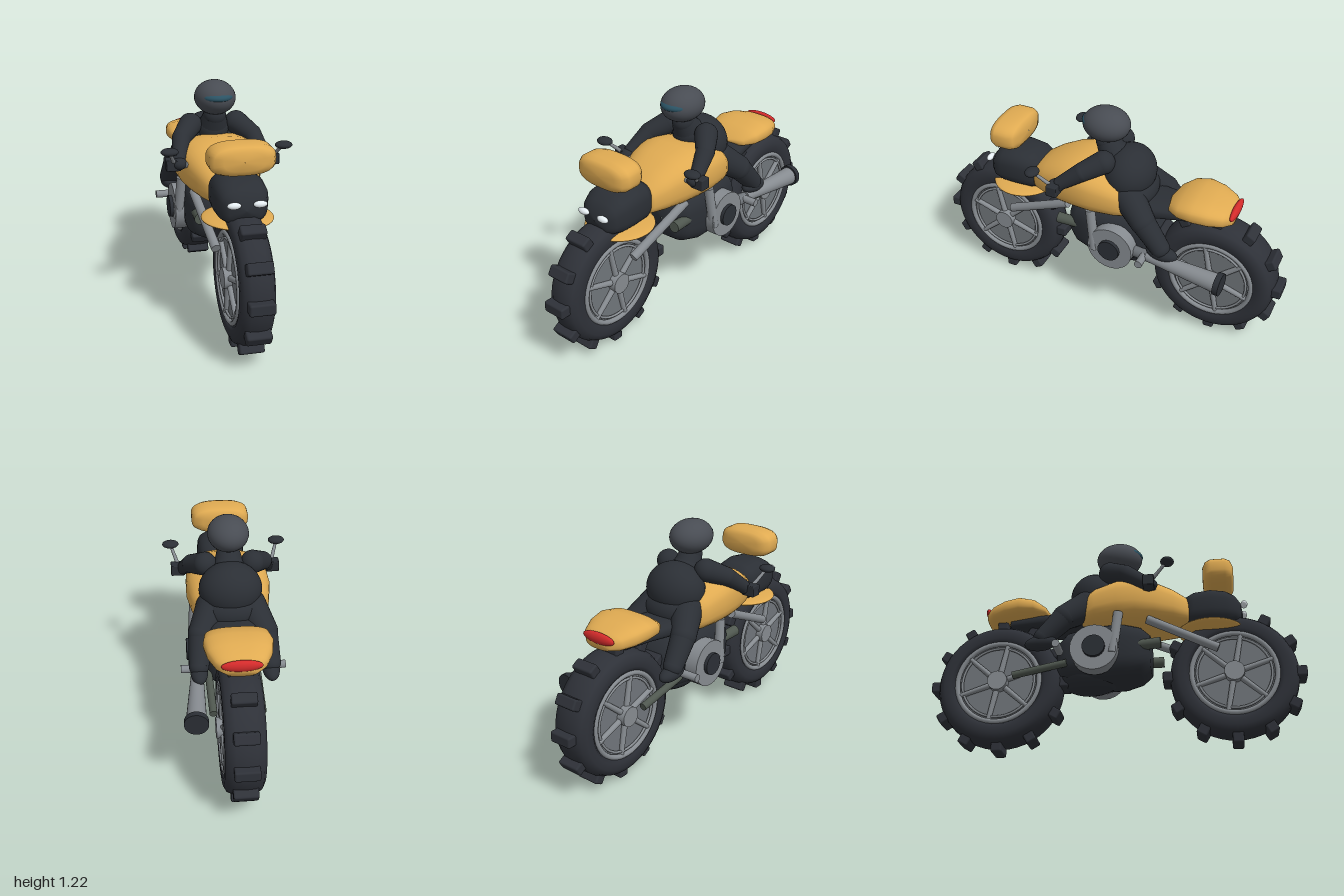
import * as THREE from 'three';
import { RoundedBoxGeometry } from 'three/addons/geometries/RoundedBoxGeometry.js';

const mat = (color) => new THREE.MeshStandardMaterial({ color });
const GOLD = mat(0xe0ab52), DARK = mat(0x2b2f35), TYRE = mat(0x2e3138), METAL = mat(0x868b90),
  STEEL = mat(0x70757a), HELMET = mat(0x484c53), VISOR = mat(0x2b5364), WHITE = mat(0xe6eef2),
  RED = mat(0xd42b2b), PIPE = mat(0x4f574f);

export function createModel() {
  const model = new THREE.Group();
  model.name = 'motorcycleAndRider';

  const add = (name, geo, material, pos = [0, 0, 0], parent = model) => {
    const m = new THREE.Mesh(geo, material);
    m.name = name;
    m.position.set(...pos);
    parent.add(m);
    return m;
  };
  const ball = (name, material, pos, radii, parent) => {
    const m = add(name, new THREE.SphereGeometry(1, 32, 20), material, pos, parent);
    m.scale.set(...radii);
    return m;
  };
  // Tapered round bar between two points
  const rod = (name, material, a, b, r1, r2 = r1, parent = model) => {
    const A = new THREE.Vector3(...a), B = new THREE.Vector3(...b);
    const d = B.clone().sub(A);
    const m = add(name, new THREE.CylinderGeometry(r2, r1, d.length(), 24), material,
      A.clone().add(B).multiplyScalar(0.5).toArray(), parent);
    m.quaternion.setFromUnitVectors(new THREE.Vector3(0, 1, 0), d.normalize());
    return m;
  };
  // Limb with rounded ends
  const limb = (name, material, a, b, r1, r2) => {
    rod(name, material, a, b, r1, r2);
    ball(name + 'Start', material, a, [r1, r1, r1]);
    ball(name + 'End', material, b, [r2, r2, r2]);
  };
  // Superellipse sections [z, half width, bottom, top], listed back to front
  const loft = (name, material, sections, power = 0.75) => {
    const n = 36, pos = [], idx = [];
    const p = (v) => Math.sign(v) * Math.abs(v) ** power;
    for (const [z, w, y0, y1] of sections)
      for (let j = 0; j < n; j++) {
        const a = (j / n) * Math.PI * 2;
        pos.push(w * p(Math.cos(a)), (y0 + y1) / 2 + ((y1 - y0) / 2) * p(Math.sin(a)), z);
      }
    for (let i = 0; i < sections.length - 1; i++)
      for (let j = 0; j < n; j++) {
        const a = i * n + j, b = i * n + ((j + 1) % n);
        idx.push(a, b, a + n, b, b + n, a + n);
      }
    const g = new THREE.BufferGeometry();
    g.setAttribute('position', new THREE.Float32BufferAttribute(pos, 3));
    g.setIndex(idx);
    g.computeVertexNormals();
    return add(name, g, material);
  };

  // Wheels: tyre, tread blocks, rim, spokes and hub
  const wheel = (name, z, w) => {
    const g = new THREE.Group();
    g.name = name;
    g.position.set(0, 0.375, z);
    model.add(g);
    const tyre = [[0.23, -w * 0.9], [0.255, -w], [0.29, -w], [0.318, -w * 0.85], [0.334, -w * 0.5], [0.337, 0],
      [0.334, w * 0.5], [0.318, w * 0.85], [0.29, w], [0.255, w], [0.23, w * 0.9], [0.23, -w * 0.9]];
    add('tyre', new THREE.LatheGeometry(tyre.map((p) => new THREE.Vector2(...p)), 48), TYRE, [0, 0, 0], g)
      .rotation.z = Math.PI / 2;
    for (let i = 0; i < 12; i++) {
      const a = (i / 12) * Math.PI * 2;
      const block = add('treadBlock', new RoundedBoxGeometry(0.125, 0.06, 0.058, 2, 0.01), TYRE,
        [0, 0.345 * Math.cos(a), 0.345 * Math.sin(a)], g);
      block.rotation.x = a;
    }
    rod('rimDisc', STEEL, [-w * 0.75, 0, 0], [w * 0.75, 0, 0], 0.235, 0.235, g);
    rod('hub', METAL, [-w - 0.02, 0, 0], [w + 0.02, 0, 0], 0.053, 0.053, g);
    for (const s of [-1, 1]) {
      for (const [r, t] of [[0.222, 0.014], [0.195, 0.007]])
        add('rimRing', new THREE.TorusGeometry(r, t, 10, 48), METAL, [s * w * 0.88, 0, 0], g).rotation.y = Math.PI / 2;
      for (let i = 0; i < 6; i++) {
        const a = (i / 6) * Math.PI * 2 + 0.2, x = s * w * 0.85;
        rod('spoke', METAL, [x, 0.03 * Math.cos(a), 0.03 * Math.sin(a)],
          [x, 0.215 * Math.cos(a), 0.215 * Math.sin(a)], 0.016, 0.013, g);
      }
    }
  };
  wheel('frontWheel', 0.625, 0.083);
  wheel('rearWheel', -0.625, 0.1);

  // Bodywork
  loft('fuelTank', GOLD, [[-0.21, 0.001, 0.72, 0.73], [-0.205, 0.1, 0.68, 0.77], [-0.17, 0.17, 0.663, 0.84],
    [-0.1, 0.205, 0.655, 0.89], [0.02, 0.225, 0.65, 0.93], [0.12, 0.222, 0.65, 0.94], [0.22, 0.2, 0.65, 0.92],
    [0.32, 0.165, 0.655, 0.875], [0.39, 0.128, 0.66, 0.83], [0.415, 0.1, 0.67, 0.8], [0.42, 0.001, 0.73, 0.735]]);
  loft('frontCowl', DARK, [[0.36, 0.001, 0.74, 0.75], [0.37, 0.1, 0.67, 0.83], [0.43, 0.127, 0.65, 0.86],
    [0.52, 0.135, 0.65, 0.87], [0.6, 0.13, 0.65, 0.858], [0.65, 0.112, 0.66, 0.83], [0.68, 0.08, 0.68, 0.79],
    [0.692, 0.001, 0.735, 0.74]], 0.7);
  loft('windShield', GOLD, [[0.482, 0.001, 0.963, 0.965], [0.484, 0.1, 0.92, 1.01], [0.5, 0.145, 0.895, 1.032],
    [0.53, 0.163, 0.886, 1.042], [0.605, 0.163, 0.886, 1.042], [0.635, 0.145, 0.895, 1.032],
    [0.65, 0.1, 0.92, 1.01], [0.652, 0.001, 0.963, 0.965]], 0.7);
  loft('tailFairing', GOLD, [[-0.715, 0.001, 0.775, 0.78], [-0.71, 0.08, 0.745, 0.81], [-0.67, 0.125, 0.738, 0.832],
    [-0.6, 0.158, 0.738, 0.855], [-0.52, 0.172, 0.742, 0.866], [-0.44, 0.16, 0.745, 0.85],
    [-0.38, 0.115, 0.755, 0.81], [-0.355, 0.001, 0.778, 0.782]]);
  ball('frontFender', GOLD, [0, 0.645, 0.515], [0.18, 0.024, 0.178]);
  ball('tailLight', RED, [0, 0.802, -0.705], [0.1, 0.03, 0.02]);
  loft('seat', DARK, [[-0.6, 0.001, 0.72, 0.725], [-0.58, 0.07, 0.7, 0.76], [-0.42, 0.1, 0.69, 0.77],
    [-0.25, 0.13, 0.67, 0.77], [-0.1, 0.13, 0.65, 0.76], [-0.08, 0.001, 0.7, 0.71]]);

  // Engine and belly
  loft('engine', DARK, [[-0.32, 0.001, 0.5, 0.51], [-0.31, 0.09, 0.41, 0.6], [-0.25, 0.14, 0.37, 0.65],
    [-0.1, 0.17, 0.35, 0.68], [0.05, 0.172, 0.355, 0.68], [0.14, 0.15, 0.38, 0.66],
    [0.19, 0.11, 0.42, 0.62], [0.2, 0.001, 0.52, 0.53]], 0.65);
  ball('bellyPan', DARK, [0, 0.41, -0.14], [0.125, 0.095, 0.17]);

  // Muffler on the left side
  rod('exhaustLink', STEEL, [0.13, 0.47, -0.1], [0.19, 0.5, -0.32], 0.03);
  rod('muffler', METAL, [0.19, 0.505, -0.3], [0.22, 0.482, -0.7], 0.03, 0.052);
  rod('mufflerTip', DARK, [0.219, 0.482, -0.695], [0.221, 0.481, -0.725], 0.061);

  // Rider head and body
  ball('helmet', HELMET, [0, 1.128, 0.018], [0.108, 0.09, 0.128]);
  ball('visor', VISOR, [0, 1.142, 0.06], [0.088, 0.036, 0.09]);
  limb('neck', DARK, [0, 0.95, -0.03], [0, 1.03, 0.015], 0.085, 0.06);
  ball('torso', DARK, [0, 0.875, -0.115], [0.165, 0.145, 0.14]);
  ball('hips', DARK, [0, 0.78, -0.16], [0.165, 0.1, 0.11]);

  // Parts repeated on both sides
  for (const s of [-1, 1]) {
    ball('headlight', WHITE, [s * 0.063, 0.772, 0.698], [0.034, 0.017, 0.018]);

    // Fork, frame, engine covers and swing arm
    rod('fork', METAL, [s * 0.115, 0.5, 0.55], [s * 0.15, 0.67, 0.18], 0.024);
    rod('frameStrut', METAL, [s * 0.2, 0.46, 0.0], [s * 0.185, 0.7, 0.03], 0.026);
    rod('engineCover', METAL, [s * 0.14, 0.495, -0.095], [s * 0.218, 0.495, -0.095], 0.127);
    rod('engineCap', DARK, [s * 0.2, 0.495, -0.095], [s * 0.237, 0.495, -0.095], 0.06);
    rod('exhaustPort', PIPE, [s * 0.12, 0.53, 0.05], [s * 0.13, 0.54, 0.25], 0.026, 0.03);
    rod('swingArm', PIPE, [s * 0.13, 0.45, -0.25], [s * 0.125, 0.395, -0.54], 0.02);
    rod('footPeg', METAL, [s * 0.16, 0.5, -0.285], [s * 0.275, 0.5, -0.285], 0.021);

    // Handlebar and mirror
    rod('handlebar', STEEL, [s * 0.12, 0.83, 0.24], [s * 0.25, 0.83, 0.2], 0.016);
    add('grip', new RoundedBoxGeometry(0.075, 0.06, 0.06, 2, 0.005), DARK, [s * 0.26, 0.832, 0.2]);
    rod('mirrorStem', METAL, [s * 0.255, 0.84, 0.21], [s * 0.292, 0.925, 0.295], 0.011, 0.008);
    ball('mirror', DARK, [s * 0.294, 0.93, 0.303], [0.045, 0.02, 0.036]);

    // Arm
    limb('upperArm', DARK, [s * 0.125, 0.975, -0.02], [s * 0.19, 0.93, 0.07], 0.062, 0.05);
    limb('forearm', DARK, [s * 0.19, 0.93, 0.07], [s * 0.225, 0.85, 0.18], 0.05, 0.036);
    ball('hand', DARK, [s * 0.228, 0.835, 0.2], [0.04, 0.033, 0.045]);

    // Leg and boot
    limb('thigh', DARK, [s * 0.1, 0.79, -0.15], [s * 0.165, 0.7, -0.26], 0.085, 0.068);
    limb('shin', DARK, [s * 0.165, 0.7, -0.26], [s * 0.185, 0.575, -0.37], 0.066, 0.052);
    const boot = ball('boot', DARK, [s * 0.185, 0.545, -0.38], [0.045, 0.04, 0.088]);
    boot.rotation.x = -0.1;
  }
  return model;
}
